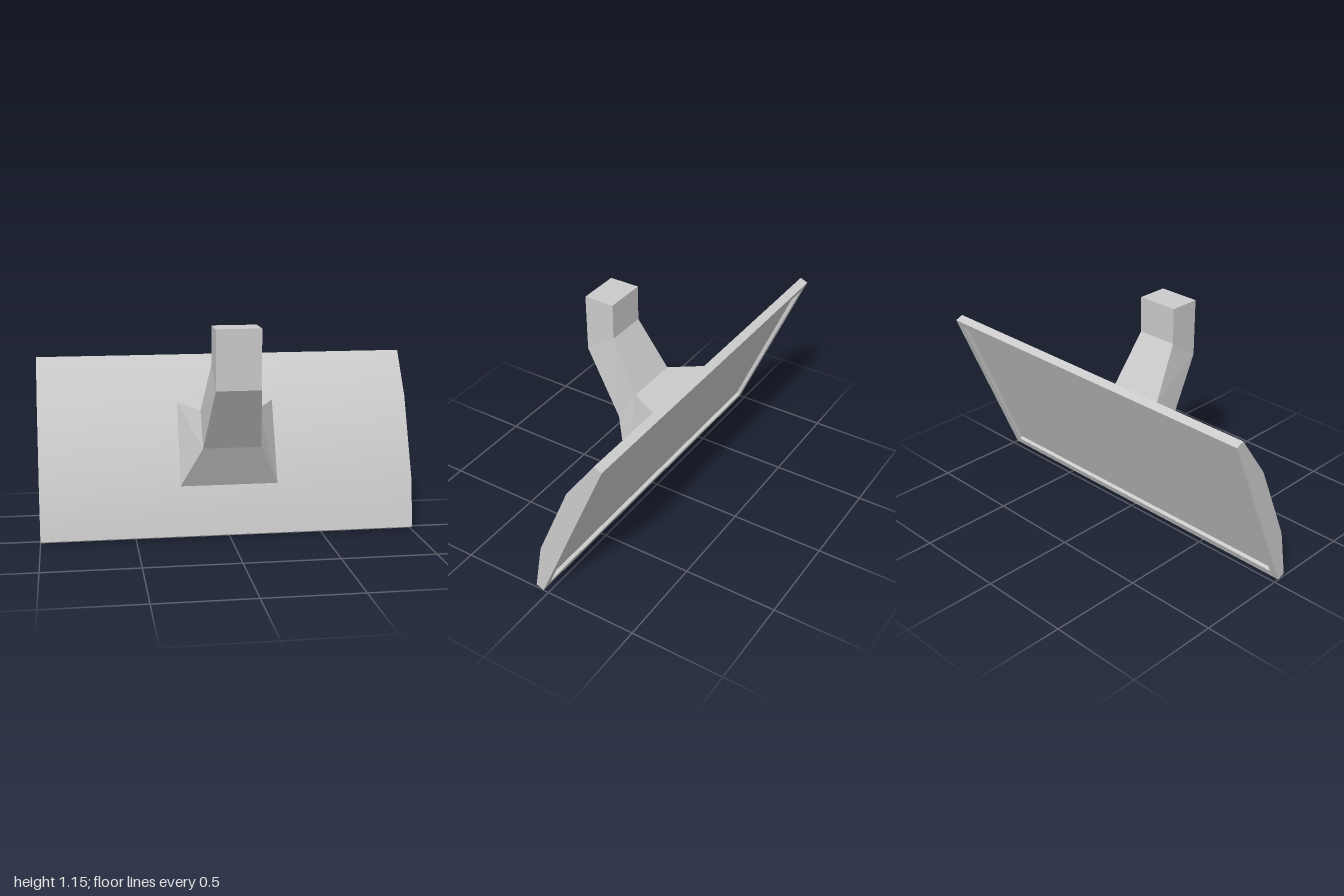
import * as THREE from 'three';
import { toCreasedNormals } from 'three/addons/utils/BufferGeometryUtils.js';

const material = new THREE.MeshStandardMaterial({ color: 0xcccccc });
const flatMaterial = new THREE.MeshStandardMaterial({ color: 0xcccccc, flatShading: true });

function part(name, geometry, mat = material) {
  const mesh = new THREE.Mesh(geometry, mat);
  mesh.name = name;
  return mesh;
}

// Rectangle outline centred on x, from y = bottom to y = top
function rectangle(Type, halfWidth, bottom, top) {
  return new Type([[-halfWidth, bottom], [halfWidth, bottom], [halfWidth, top], [-halfWidth, top]]
    .map(([x, y]) => new THREE.Vector2(x, y)));
}

// Four-sided tube through sections [halfWidth, frontY, frontZ, backY, backZ], capped at the end
function loft(sections) {
  const positions = [], index = [];
  sections.forEach(([w, fy, fz, by, bz], s) => {
    positions.push(w, fy, fz, w, by, bz, -w, by, bz, -w, fy, fz);
    if (s === 0) return;
    for (let i = 0; i < 4; i++) {
      const a = (s - 1) * 4 + i, b = (s - 1) * 4 + (i + 1) % 4;
      index.push(a, b, b + 4, a, b + 4, a + 4);
    }
  });
  const e = (sections.length - 1) * 4;
  index.push(e, e + 1, e + 2, e, e + 2, e + 3);
  const geometry = new THREE.BufferGeometry();
  geometry.setAttribute('position', new THREE.Float32BufferAttribute(positions, 3));
  geometry.setIndex(index);
  const flat = geometry.toNonIndexed();
  flat.computeVertexNormals();
  return flat;
}

export function createModel() {
  const model = new THREE.Group();
  model.name = 'mountedScreen';

  // Tilted screen: local y runs up the panel, local z points out of its bulging housing
  const screen = new THREE.Group();
  screen.name = 'screen';
  screen.position.set(0, 0.003, 0.03);
  screen.rotation.x = -0.397;
  const height = 0.995, rimDepth = 0.02, border = 0.043;

  // Housing: bulged profile extruded across the full width
  const profile = [[rimDepth, 0], [0.046, 0], [0.107, 0.26], [0.107, 0.72], [0.046, height], [rimDepth, height]];
  const housing = new THREE.ExtrudeGeometry(
    new THREE.Shape(profile.map(([z, y]) => new THREE.Vector2(-z, y))),
    { depth: 2, bevelEnabled: false });
  housing.translate(0, 0, -1).rotateY(Math.PI / 2);
  screen.add(part('housing', toCreasedNormals(housing, 0.4)));

  // Raised rim around the recessed display
  const rim = rectangle(THREE.Shape, 1, 0, height);
  rim.holes.push(rectangle(THREE.Path, 1 - border, border, height - border));
  screen.add(part('rim', new THREE.ExtrudeGeometry(rim, { depth: rimDepth, bevelEnabled: false })));
  model.add(screen);

  // Bent mounting arm, flaring out onto the housing
  model.add(part('mountingArm', loft([
    [0.26, 0.283, 0.028, 0.705, -0.152],
    [0.153, 0.51, 0.14, 0.69, 0.033],
    [0.115, 0.845, 0.353, 0.958, 0.19],
    [0.115, 1.153, 0.357, 1.153, 0.19],
  ]), flatMaterial));

  return model;
}
